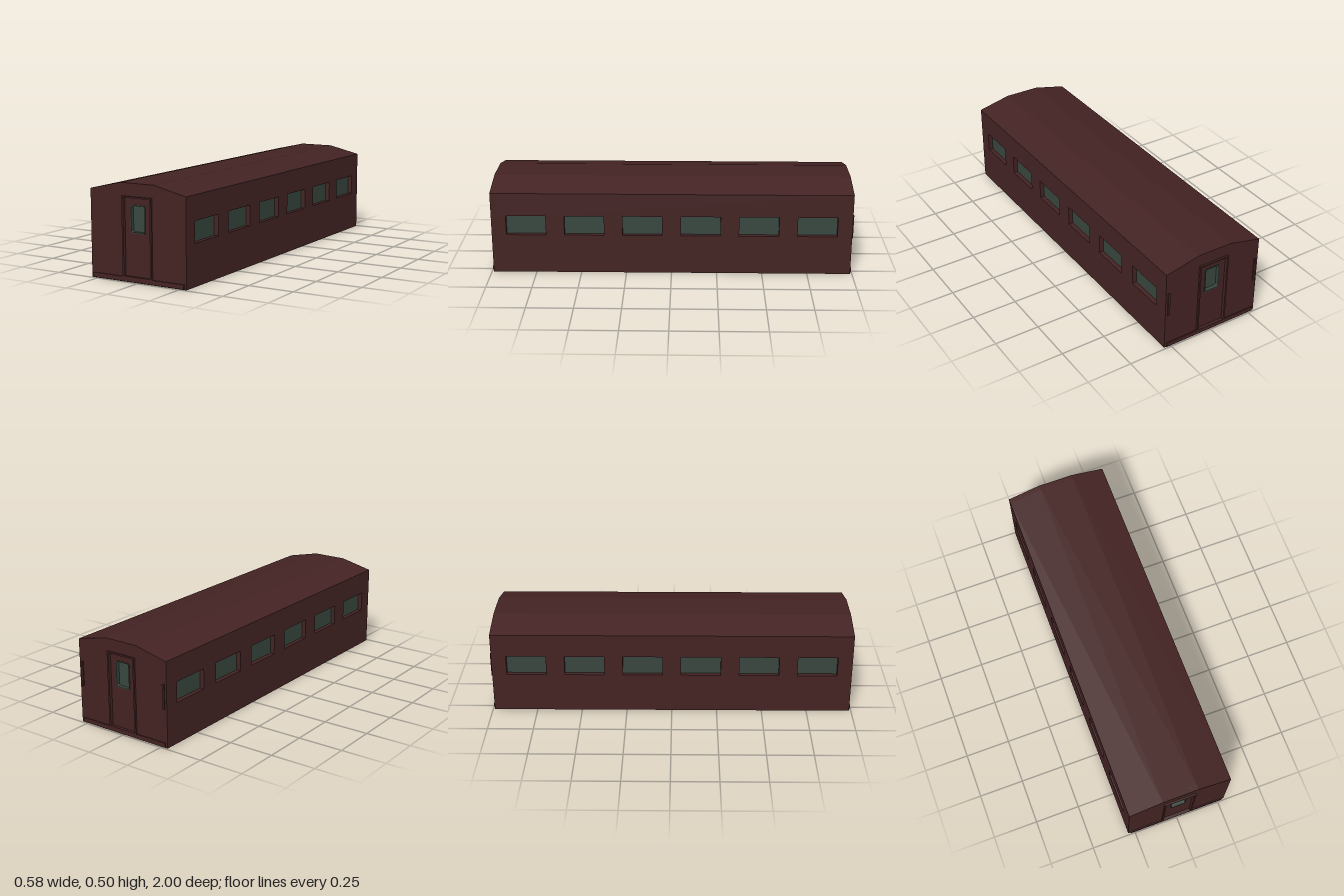
import * as THREE from 'three';

const HALF_W = 0.288, HALF_L = 0.99, EAVE = 0.462, RIDGE = 0.505;

export function createModel() {
  const paint = new THREE.MeshStandardMaterial({ color: 0x442323 });
  paint.name = 'maroon paint';
  const glass = new THREE.MeshStandardMaterial({ color: 0x38463f });
  glass.name = 'green glass';

  const add = (parent, name, geometry, material, x = 0, y = 0, z = 0) => {
    const mesh = new THREE.Mesh(geometry, material);
    mesh.name = name;
    mesh.position.set(x, y, z);
    parent.add(mesh);
    return mesh;
  };
  const box = (parent, name, material, w, h, d, x, y, z) =>
    add(parent, name, new THREE.BoxGeometry(w, h, d), material, x, y, z);
  const polygon = (points) => new THREE.Shape(points.map(([x, y]) => new THREE.Vector2(x, y)));
  const rect = (x0, y0, x1, y1) => polygon([[x0, y0], [x1, y0], [x1, y1], [x0, y1]]);
  const roundRect = (x0, y0, x1, y1, r) => {
    const s = new THREE.Shape();
    s.absarc(x1 - r, y0 + r, r, -Math.PI / 2, 0);
    s.absarc(x1 - r, y1 - r, r, 0, Math.PI / 2);
    s.absarc(x0 + r, y1 - r, r, Math.PI / 2, Math.PI);
    s.absarc(x0 + r, y0 + r, r, Math.PI, Math.PI * 1.5);
    s.closePath();
    return s;
  };
  const slab = (shape, depth, holes = []) => {
    shape.holes.push(...holes);
    return new THREE.ExtrudeGeometry(shape, { depth, bevelEnabled: false, curveSegments: 4 });
  };

  const model = new THREE.Group();
  model.name = 'railwayCarriage';

  // Floor and faceted roof
  box(model, 'floor', paint, HALF_W * 2, 0.02, HALF_L * 2, 0, 0.01, 0);
  const roofShape = polygon([[-HALF_W, EAVE], [HALF_W, EAVE], [0.1, RIDGE], [-0.1, RIDGE]]);
  add(model, 'roof', slab(roofShape, HALF_L * 2), paint, 0, 0, -HALF_L);

  // Long walls with six recessed windows each
  for (const side of [1, -1]) {
    const wall = new THREE.Group();
    wall.name = side > 0 ? 'leftWall' : 'rightWall';
    wall.rotation.y = side * Math.PI / 2;
    const centres = [-0.8, -0.48, -0.16, 0.16, 0.48, 0.8];
    const holes = centres.map((c) => rect(c - 0.109, 0.221, c + 0.109, 0.332));
    add(wall, 'wallPanel', slab(rect(-HALF_L, 0, HALF_L, EAVE), 0.03, holes), paint, 0, 0, HALF_W - 0.03);
    for (const c of centres) box(wall, 'sideWindow', glass, 0.224, 0.117, 0.006, c, 0.2765, HALF_W - 0.028);
    model.add(wall);
  }

  // End walls, each with a framed door and a step
  for (const end of [1, -1]) {
    const group = new THREE.Group();
    group.name = end > 0 ? 'frontEnd' : 'backEnd';
    group.rotation.y = end > 0 ? 0 : Math.PI;
    const outline = polygon([[-HALF_W, 0], [HALF_W, 0], [HALF_W, EAVE], [0.1, RIDGE], [-0.1, RIDGE], [-HALF_W, EAVE]]);
    add(group, 'endWall', slab(outline, 0.03, [rect(-0.08, 0.03, 0.08, 0.43)]), paint, 0, 0, HALF_L - 0.03);
    add(group, 'doorFrame', slab(rect(-0.089, 0.03, 0.089, 0.439), 0.01, [rect(-0.08, 0.031, 0.08, 0.431)]),
      paint, 0, 0, HALF_L);

    // Door leaf with a rounded, recessed window
    add(group, 'door', slab(rect(-0.08, 0.03, 0.08, 0.43), 0.022, [roundRect(-0.044, 0.252, 0.044, 0.395, 0.01)]),
      paint, 0, 0, HALF_L - 0.03);
    add(group, 'doorWindowRim', slab(roundRect(-0.044, 0.252, 0.044, 0.395, 0.01), 0.026,
      [roundRect(-0.04, 0.257, 0.04, 0.391, 0.007)]), glass, 0, 0, HALF_L - 0.03);
    box(group, 'doorWindow', glass, 0.084, 0.138, 0.005, 0, 0.324, HALF_L - 0.027);

    box(group, 'doorSill', paint, 0.188, 0.004, 0.01, 0, 0.029, HALF_L + 0.005);
    box(group, 'bufferBeam', paint, 0.55, 0.024, 0.006, 0, 0.015, HALF_L + 0.003);

    // Upright corner grab rails on the back only
    if (end < 0) for (const s of [1, -1]) {
      box(group, 'grabRail', paint, 0.012, 0.135, 0.006, s * 0.27, 0.275, HALF_L + 0.003);
    }
    model.add(group);
  }
  return model;
}
